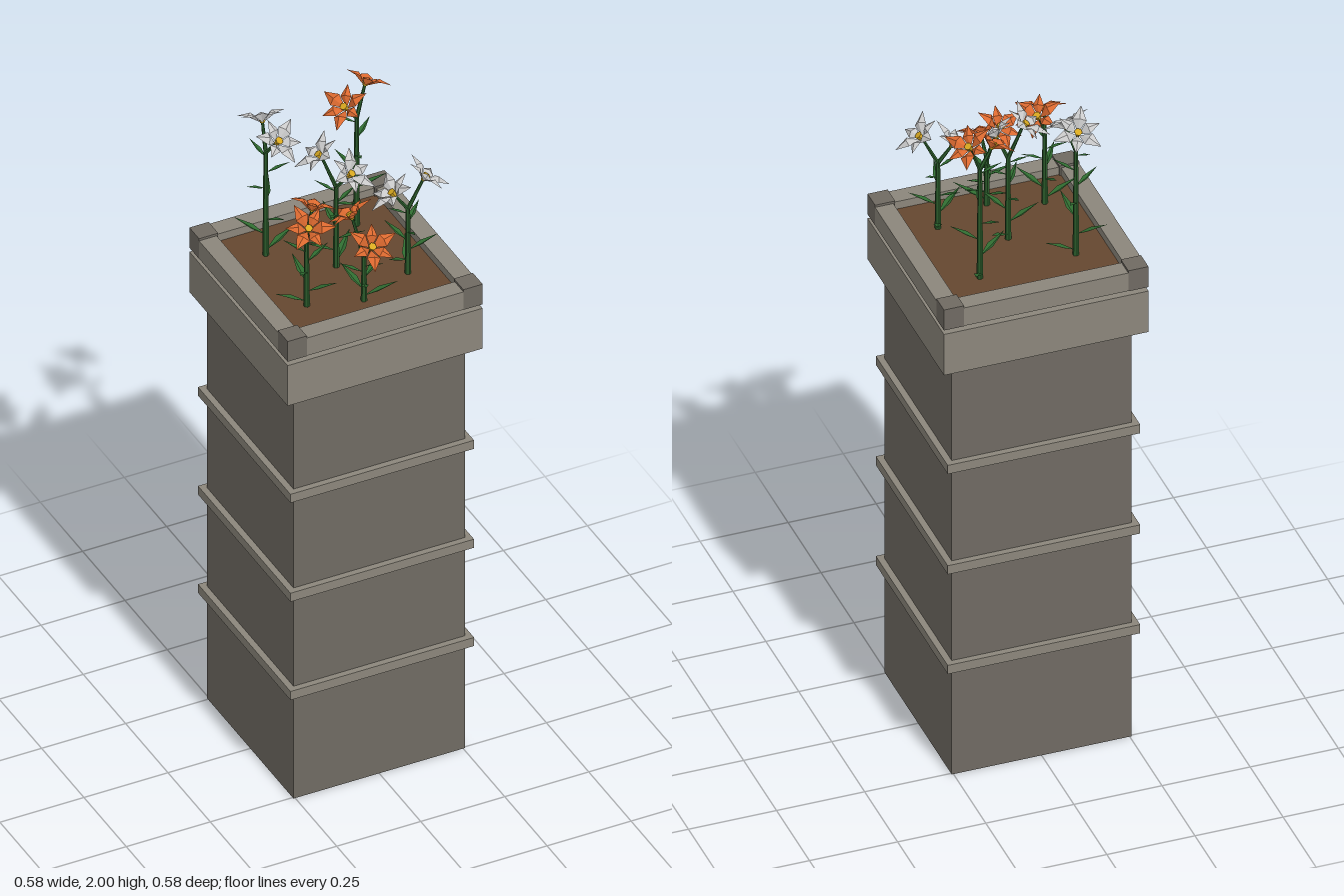
import * as THREE from 'three';

const mat = (color, side = THREE.FrontSide) =>
  new THREE.MeshStandardMaterial({ color, side, flatShading: true });

const darkStone = mat(0x6f6a62);
const lightStone = mat(0x8b867b);
const soilMat = mat(0x654730);
const stemMat = mat(0x2a5a2a);
const leafMat = mat(0x2f6b30, THREE.DoubleSide);
const orangeMat = mat(0xdd6a30, THREE.DoubleSide);
const whiteMat = mat(0xe4e2e2, THREE.DoubleSide);
const yellowMat = mat(0xd8a820);
const UP = new THREE.Vector3(0, 1, 0);

function add(parent, name, geometry, material, x = 0, y = 0, z = 0) {
  const mesh = new THREE.Mesh(geometry, material);
  mesh.name = name;
  mesh.position.set(x, y, z);
  parent.add(mesh);
  return mesh;
}

// Square block given by half width and its bottom and top heights
function slab(parent, name, half, y0, y1, material) {
  add(parent, name, new THREE.BoxGeometry(half * 2, y1 - y0, half * 2), material, 0, (y0 + y1) / 2);
}

// Pointed blade along +x, creased on its midline: base, two edges, ridge, tip
function blade(start, length, width, rise, tipRise, fold) {
  const mid = start + (length - start) * 0.42;
  const geo = new THREE.BufferGeometry();
  geo.setAttribute('position', new THREE.Float32BufferAttribute([
    start, 0, 0,
    mid, rise, width / 2,
    mid, rise - fold, 0,
    mid, rise, -width / 2,
    length, tipRise, 0,
  ], 3));
  geo.setIndex([0, 1, 2, 0, 2, 3, 1, 4, 2, 2, 4, 3]);
  const flat = geo.toNonIndexed();
  flat.computeVertexNormals();
  return flat;
}

const petalGeo = blade(0.004, 0.07, 0.036, 0.02, 0.024, -0.008);
const leafGeo = blade(0, 0.092, 0.024, 0.024, 0.05, 0.006);

// Straight round piece between two points
function rod(parent, name, a, b, r0, r1, material) {
  const dir = b.clone().sub(a);
  const mesh = add(parent, name, new THREE.CylinderGeometry(r1, r0, dir.length(), 6), material);
  mesh.position.copy(a).add(b).multiplyScalar(0.5);
  mesh.quaternion.setFromUnitVectors(UP, dir.normalize());
}

function makeFlower(petalMat, direction, spin) {
  const flower = new THREE.Group();
  flower.name = 'flower';
  for (let i = 0; i < 6; i++) {
    const petal = add(flower, 'petal', petalGeo, petalMat);
    petal.rotation.y = spin + (i * Math.PI) / 3;
    petal.scale.setScalar(i % 2 ? 0.9 : 1.06);
  }
  add(flower, 'flowerCentre', new THREE.CylinderGeometry(0.011, 0.006, 0.02, 6), yellowMat, 0, 0.009);
  flower.quaternion.setFromUnitVectors(UP, direction);
  return flower;
}

// Stem with a spiral of leaves and two flowers on short branches
function makePlant({ at, petals, flowers, turn }) {
  const plant = new THREE.Group();
  plant.name = 'floweringPlant';
  const [x, z] = at;
  const fork = Math.min(...flowers.map((f) => f[1])) - 0.05;
  const top = new THREE.Vector3(x, fork, z);
  rod(plant, 'stem', new THREE.Vector3(x, 1.49, z), top, 0.009, 0.006, stemMat);

  const count = 7;
  for (let i = 0; i < count; i++) {
    const t = i / (count - 1);
    const leaf = add(plant, 'leaf', leafGeo, leafMat, x, 1.515 + t * (fork - 1.53), z);
    leaf.rotation.y = turn + i * 2.4;
    leaf.scale.setScalar(1 - 0.35 * t);
  }

  flowers.forEach(([fx, fy, fz], i) => {
    const end = new THREE.Vector3(fx, fy, fz);
    rod(plant, 'branch', top, end, 0.006, 0.004, stemMat);
    const direction = new THREE.Vector3((fx - x) * 14, 0.7, (fz - z) * 14).normalize();
    const flower = makeFlower(petals, direction, turn + i * 0.7);
    flower.position.copy(end);
    plant.add(flower);
  });
  return plant;
}

export function createModel() {
  const model = new THREE.Group();
  model.name = 'pedestalPlanter';

  // Pillar, bands and cap
  slab(model, 'pillar', 0.255, 0, 1.32, darkStone);
  for (const y of [0.354, 0.676, 1.0]) slab(model, 'band', 0.273, y - 0.014, y + 0.014, lightStone);
  slab(model, 'cap', 0.29, 1.32, 1.452, lightStone);

  // Raised tray of soil
  slab(model, 'soil', 0.239, 1.466, 1.5, soilMat);

  // Rim beams and corner posts
  for (let i = 0; i < 4; i++) {
    const side = new THREE.Group();
    side.name = 'rimSide';
    side.rotation.y = (i * Math.PI) / 2;
    add(side, 'rimBeam', new THREE.BoxGeometry(0.466, 0.058, 0.052), lightStone, 0, 1.495, 0.264);
    add(side, 'cornerPost', new THREE.BoxGeometry(0.057, 0.066, 0.057), darkStone, 0.2615, 1.498, 0.2615);
    model.add(side);
  }

  // Plants: stem position, then flower positions
  const plants = [
    { at: [-0.145, -0.127], petals: whiteMat, turn: 0.1,
      flowers: [[-0.138, 1.91, -0.16], [-0.132, 1.885, -0.09]] },
    { at: [0.132, -0.14], petals: orangeMat, turn: 1.1,
      flowers: [[0.165, 1.935, -0.158], [0.095, 1.9, -0.127]] },
    { at: [-0.002, 0.005], petals: whiteMat, turn: 0.7,
      flowers: [[-0.038, 1.86, -0.008], [0.018, 1.81, 0.038]] },
    { at: [-0.152, 0.128], petals: orangeMat, turn: 3.1,
      flowers: [[-0.128, 1.79, 0.11], [-0.163, 1.77, 0.16]] },
    { at: [-0.005, 0.175], petals: orangeMat, turn: 5.8,
      flowers: [[-0.025, 1.755, 0.147], [-0.005, 1.695, 0.215]] },
    { at: [0.155, 0.117], petals: whiteMat, turn: 1.2,
      flowers: [[0.12, 1.76, 0.11], [0.197, 1.795, 0.122]] },
  ];
  for (const p of plants) model.add(makePlant(p));
  return model;
}
